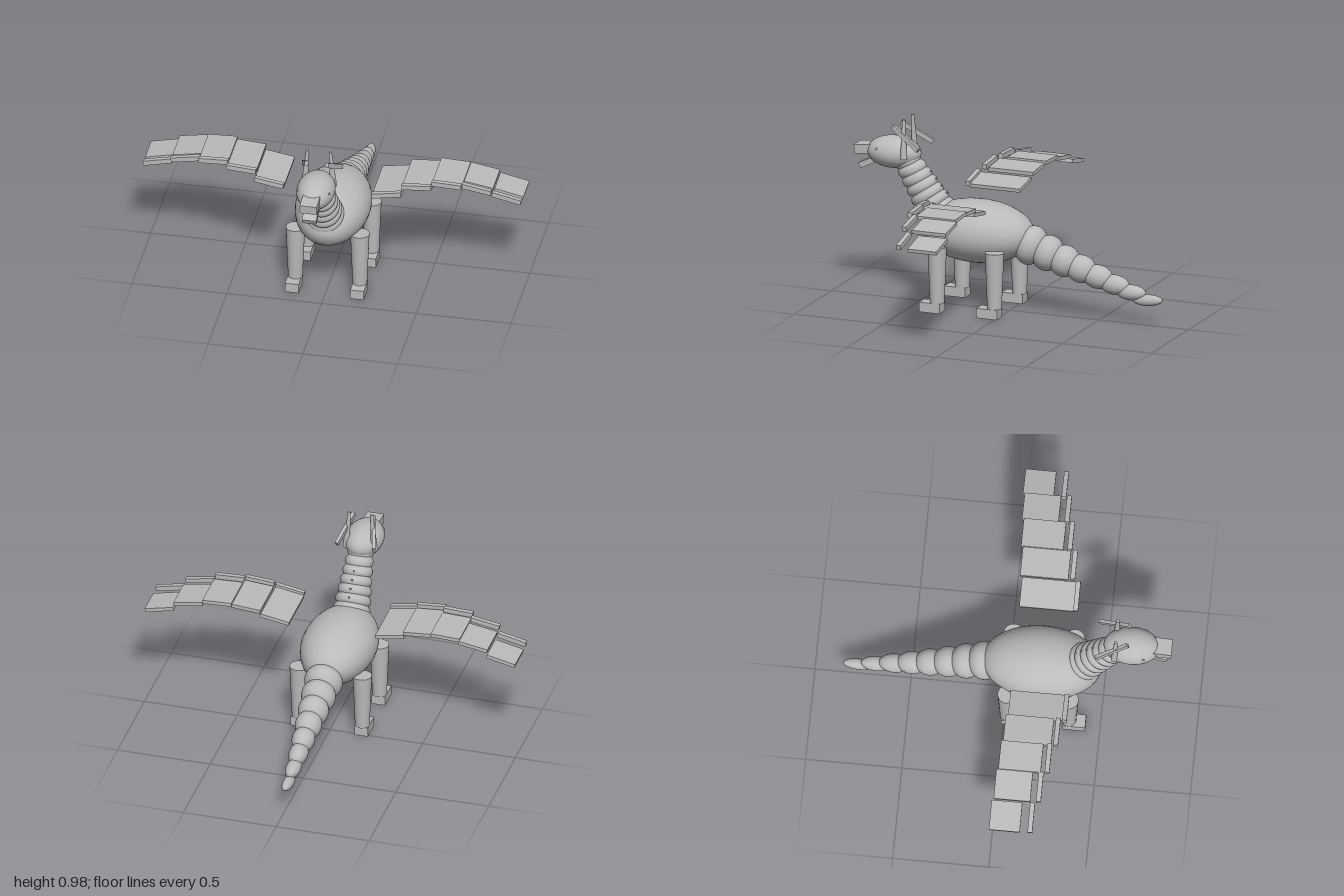
import * as THREE from 'three';

const grey = new THREE.MeshStandardMaterial({ color: 0xbababa });
grey.name = 'stone grey';

export function createModel() {
  const model = new THREE.Group();
  model.name = 'wingedDragon';

  const add = (name, geometry, x, y, z) => {
    const mesh = new THREE.Mesh(geometry, grey);
    mesh.name = name;
    mesh.position.set(x, y, z);
    model.add(mesh);
    return mesh;
  };
  const ball = new THREE.SphereGeometry(1, 32, 20);
  const ellipsoid = (name, [x, y, z], [rx, ry, rz], tilt = 0) => {
    const mesh = add(name, ball, x, y, z);
    mesh.scale.set(rx, ry, rz);
    mesh.rotation.x = tilt;
    return mesh;
  };
  const box = (name, [x, y, z], [w, h, d]) => add(name, new THREE.BoxGeometry(w, h, d), x, y, z);
  const lerp = THREE.MathUtils.lerp;

  // Body and head
  ellipsoid('body', [0, 0.41, 0.18], [0.195, 0.165, 0.312]);
  ellipsoid('head', [0, 0.785, 0.648], [0.1, 0.085, 0.147]);
  box('upperJaw', [0, 0.795, 0.785], [0.09, 0.048, 0.14]).rotation.x = 0.1;
  box('lowerJaw', [0, 0.726, 0.775], [0.075, 0.03, 0.12]).rotation.x = 0.45;

  // Neck rings with a row of tiny back spikes
  for (let i = 0; i < 7; i++) {
    const t = i / 6;
    const y = lerp(0.49, 0.745, t), z = lerp(0.405, 0.575, t);
    const r = lerp(0.104, 0.072, t), tilt = -lerp(0.85, 1.2, t);
    ellipsoid('neckRing', [0, y, z], [r * 0.95, r, 0.052], tilt);
    if (i > 0 && i < 5) {
      ellipsoid('neckSpike', [0, y + Math.cos(tilt) * r, z + Math.sin(tilt) * r], [0.005, 0.008, 0.005], tilt);
    }
  }

  // Tapering tail
  for (let i = 0; i < 8; i++) {
    const t = i / 7;
    const r = lerp(0.106, 0.03, t);
    ellipsoid('tailSegment', [0, lerp(0.362, 0.134, t), lerp(-0.12, -0.772, t)],
      [r * 0.95, r, 0.082], -lerp(0.34, -0.08, t));
  }

  const up = new THREE.Vector3(0, 1, 0), forward = new THREE.Vector3(0, 0, 1);
  // Wing sections: centre height, slope
  const wing = [[0.592, 0.17], [0.638, 0.08], [0.651, -0.04], [0.627, -0.17], [0.573, -0.22]];

  for (const s of [-1, 1]) {
    const side = s > 0 ? 'left' : 'right';

    // Legs and feet
    for (const [part, z] of [['Front', 0.337], ['Hind', 0.016]]) {
      add(side + part + 'Leg', new THREE.CylinderGeometry(0.05, 0.038, 0.3, 24), s * 0.17, 0.2, z);
      box(side + part + 'Foot', [s * 0.172, 0.026, z + 0.029], [0.072, 0.052, 0.116]);
    }

    // Horn and ear
    const a = new THREE.Vector3(s * 0.076, 0.77, 0.564), b = new THREE.Vector3(s * 0.06, 0.977, 0.57);
    const mid = a.clone().add(b).multiplyScalar(0.5);
    add(side + 'Horn', new THREE.CylinderGeometry(0.008, 0.018, a.distanceTo(b), 16), mid.x, mid.y, mid.z)
      .quaternion.setFromUnitVectors(up, b.clone().sub(a).normalize());
    const back = new THREE.Vector3(s * 0.1, 0.832, 0.472), tip = new THREE.Vector3(s * 0.053, 0.932, 0.632);
    const centre = back.clone().add(tip).multiplyScalar(0.5);
    box(side + 'Ear', [centre.x, centre.y, centre.z], [0.018, 0.025, back.distanceTo(tip)])
      .quaternion.setFromUnitVectors(forward, tip.clone().sub(back).normalize());
    ellipsoid(side + 'Eye', [s * 0.083, 0.813, 0.715], [0.006, 0.006, 0.006]);

    // Wing: stepped panels behind a jointed leading bar
    wing.forEach(([y, slope], i) => {
      const x = s * (0.31 + i * 0.1525), depth = 0.28 - i * 0.03;
      box(side + 'WingPanel', [x, y - 0.002, 0.04 - i * 0.01 + depth / 2], [0.156, 0.02, depth])
        .rotation.z = s * slope;
      box(side + 'WingBar', [x, y + 0.009, 0.333 - i * 0.03], [0.156, 0.026, 0.025])
        .rotation.z = s * slope;
    });
  }

  return model;
}
